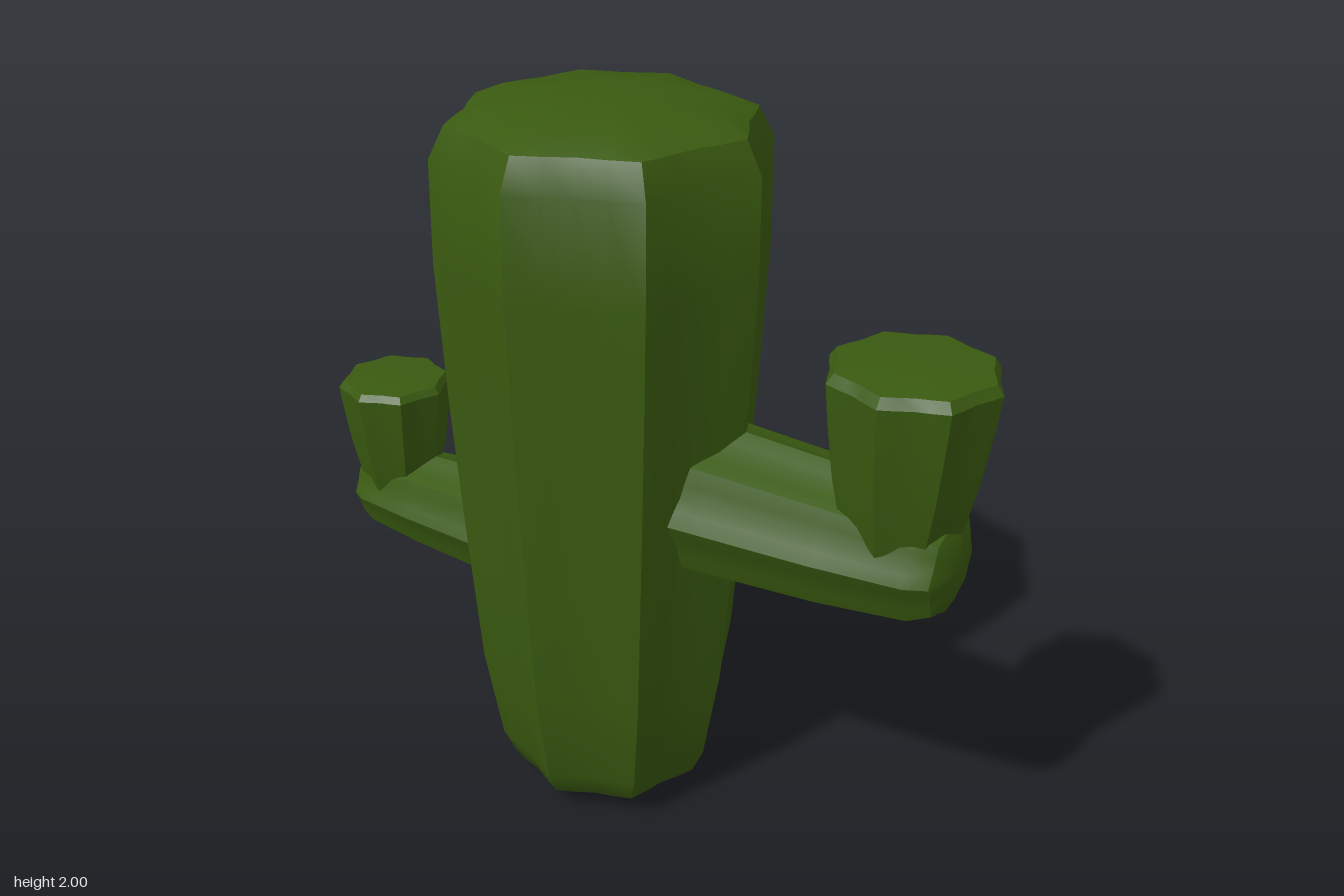
import * as THREE from 'three';
import { toCreasedNormals } from 'three/addons/utils/BufferGeometryUtils.js';

const RIBS = 8;
const STEPS = 4; // segments per rib
const FLUTE = [1, 0.935, 0.897, 0.935]; // radius factor from ridge to valley and back

// Ribbed stem: a lathe whose radius dips between sharp ridges; profile is [radius, y] from bottom to top
function ribbedStem(profile) {
  const points = profile.map(([r, y]) => new THREE.Vector2(r, y));
  const geometry = new THREE.LatheGeometry(points, RIBS * STEPS);
  const pos = geometry.attributes.position;
  for (let i = 0; i < pos.count; i++) {
    const step = Math.floor(i / points.length) % STEPS;
    pos.setX(i, pos.getX(i) * FLUTE[step]);
    pos.setZ(i, pos.getZ(i) * FLUTE[step]);
  }
  return toCreasedNormals(geometry, 0.6);
}

function part(name, geometry, material) {
  const mesh = new THREE.Mesh(geometry, material);
  mesh.name = name;
  return mesh;
}

export function createModel() {
  const green = new THREE.MeshStandardMaterial({ color: 0x3a5a10 });
  green.name = 'cactus green';

  const model = new THREE.Group();
  model.name = 'cactus';

  // Trunk, widening upward with rounded ends
  const trunk = part('trunk', ribbedStem([
    [0, 0], [0.14, 0.008], [0.22, 0.025], [0.28, 0.07], [0.315, 0.15],
    [0.36, 0.43], [0.387, 0.8], [0.412, 1.2], [0.43, 1.6], [0.426, 1.86],
    [0.385, 1.94], [0.3, 1.975], [0.15, 1.993], [0, 2],
  ]), green);
  trunk.position.x = -0.08;
  model.add(trunk);

  // Arm, built around the foot of its upright; the branch reaches back into the trunk
  const branchGeometry = ribbedStem([
    [0, -0.62], [0.213, -0.6], [0.205, -0.46], [0.187, -0.15], [0.162, 0.08],
    [0.135, 0.135], [0.09, 0.156], [0, 0.162],
  ]).rotateZ(-Math.PI / 2);
  const uprightGeometry = ribbedStem([
    [0, -0.07], [0.12, -0.05], [0.15, 0.07], [0.182, 0.22], [0.203, 0.37],
    [0.213, 0.465], [0.195, 0.49], [0.1, 0.498], [0, 0.5],
  ]);

  const arms = [
    { name: 'leftArm', x: 0.755, y: 1.0, scale: 1, turn: 0 },
    { name: 'rightArm', x: -0.81, y: 0.705, scale: 0.75, turn: Math.PI },
  ];
  for (const { name, x, y, scale, turn } of arms) {
    const arm = new THREE.Group();
    arm.name = name;
    arm.add(part('branch', branchGeometry, green), part('upright', uprightGeometry, green));
    arm.position.set(x, y, 0);
    arm.rotation.y = turn;
    arm.scale.setScalar(scale);
    model.add(arm);
  }

  return model;
}
